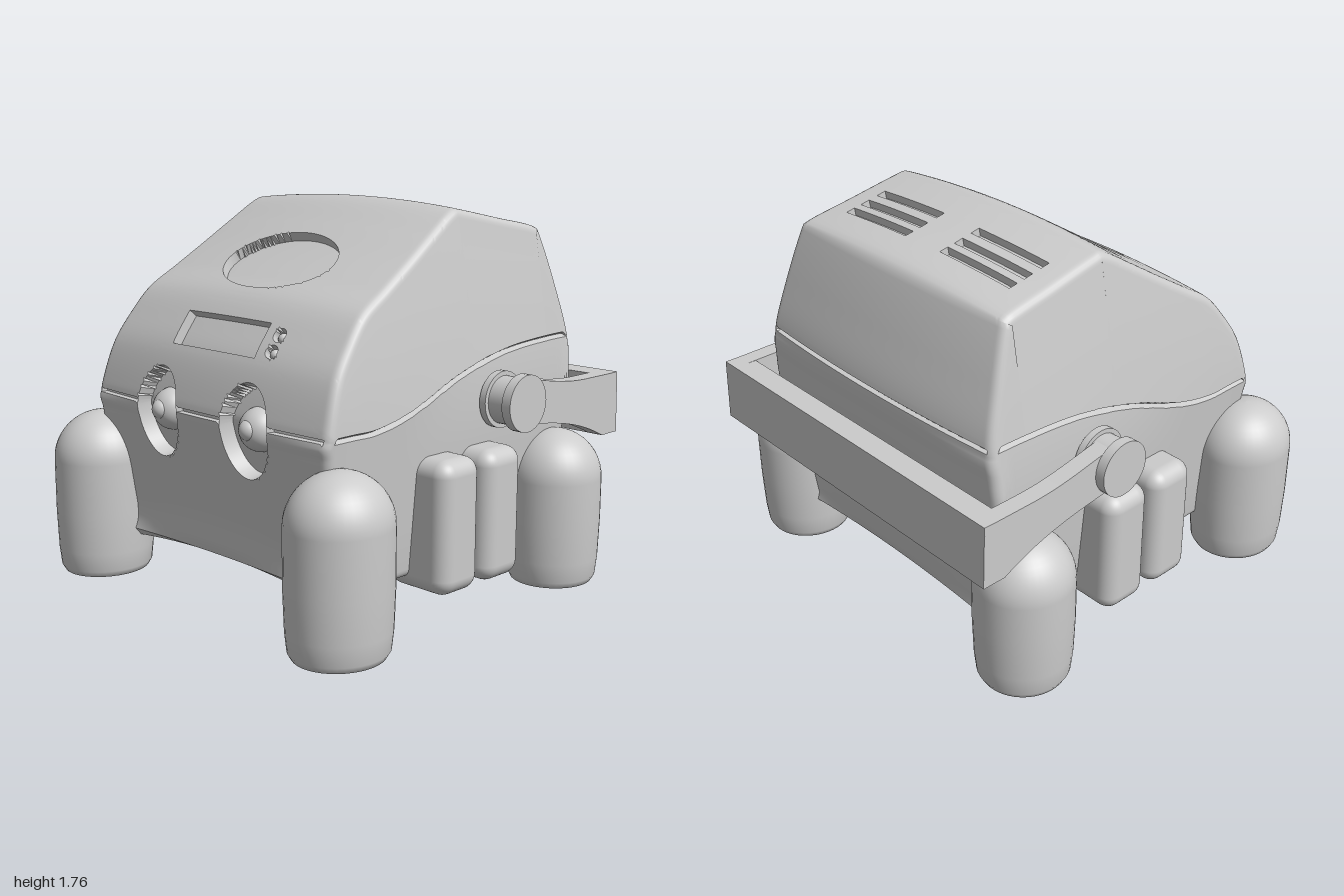
import * as THREE from 'three';
import { toCreasedNormals } from 'three/addons/utils/BufferGeometryUtils.js';
import { RoundedBoxGeometry } from 'three/addons/geometries/RoundedBoxGeometry.js';

const H = 0.0108;   // fine grid spacing of the body skin
const ROLL = 0.04;  // radius of the rounded side edges
const material = () => new THREE.MeshStandardMaterial({ color: 0xcccccc });

// Body outline on the centre line (z, y): bottom, front, top, back
const outline = new THREE.CatmullRomCurve3([
  [0, 0.24], [0.3, 0.24], [0.62, 0.235], [0.7, 0.235], [0.72, 0.25], [0.735, 0.4], [0.775, 0.65],
  [0.8, 0.8], [0.81, 0.875], [0.795, 0.95], [0.735, 1.12], [0.655, 1.24], [0.55, 1.36], [0.4, 1.455],
  [0.24, 1.555], [0.1, 1.645], [-0.05, 1.738], [-0.1, 1.755], [-0.15, 1.748], [-0.4, 1.7],
  [-0.64, 1.652], [-0.67, 1.635], [-0.69, 1.59], [-0.76, 1.38], [-0.825, 1.13], [-0.82, 1.0],
  [-0.79, 0.68], [-0.74, 0.3], [-0.725, 0.25], [-0.7, 0.235], [-0.3, 0.24],
].map(([z, y]) => new THREE.Vector3(0, y, z)), true, 'centripetal');
outline.arcLengthDivisions = 800;
const LENGTH = outline.getLength();

// Seam between lid and lower body, as height over z
const seam = new THREE.SplineCurve([[-0.9, 1.13], [-0.6, 1.125], [-0.3, 1.1], [0, 1.03], [0.3, 0.92],
  [0.5, 0.877], [0.65, 0.875], [0.9, 0.875]].map(p => new THREE.Vector2(...p)));
const seamPoints = seam.getPoints(200);
const seamY = z => seamPoints.find(p => p.x >= z).y;

// Half width of the body at height y
const halfWidth = y => y > 0.88 ? 0.76 - 0.118 * ((y - 0.88) / 0.86) ** 1.3 : 0.76 - 0.06 * (0.88 - y) / 0.68;

// Distance along the outline of the first sample that passes a test
function findS(test) {
  for (let s = 0; s < LENGTH; s += 0.002) if (test(outline.getPointAt(s / LENGTH))) return s;
}
const sFront = y => findS(p => p.z > 0 && p.y >= y);
const sTop = z => findS(p => p.y > 1 && p.z <= z);
const sSeamF = sFront(0.875);
const sSeamB = findS(p => p.z < -0.6 && p.y <= 1.13);

// Point on the skin; bowed across x, rolled at the side edges, sunk by depth
function skin(s, x, depth = 0, roll = 0) {
  const u = ((s / LENGTH) % 1 + 1) % 1;
  const p = outline.getPointAt(u), t = outline.getTangentAt(u);
  const ny = -t.z, nz = t.y;
  const bow = 0.035 * (x / halfWidth(p.y)) ** 2 * (ny < 0 ? 1 + 2.4 * ny : 1);
  const inset = bow + depth + ROLL * (1 - Math.cos(roll));
  return new THREE.Vector3(x + Math.sign(x) * ROLL * Math.sin(roll), p.y - ny * inset, p.z - nz * inset);
}

// Recesses in skin coordinates (x, s)
const recess = (x, s0, s1, w, depth, round) => ({ x, s: (s0 + s1) / 2, a: w, b: Math.abs(s1 - s0) / 2, depth, round });
const recesses = [recess(0, sFront(1.39), sFront(1.6), 0.325, 0.045, true),
  recess(0, sFront(1.14), sFront(1.275), 0.267, 0.045, false)];
for (const y of [1.175, 1.238]) recesses.push(recess(0.345, sFront(y - 0.026), sFront(y + 0.026), 0.033, 0.035, true));
for (const side of [-1, 1]) {
  recesses.push(recess(side * 0.285, sFront(0.64), sFront(1.045), 0.143, 0.075, true));
  for (const z of [-0.31, -0.4, -0.48]) recesses.push(recess(side * 0.315, sTop(z + 0.022), sTop(z - 0.022), 0.205, 0.035, false));
}
for (const s of [sSeamF, sSeamB]) recesses.push(recess(0, s - 0.011, s + 0.011, 5, 0.025, false));

// Snap vertices beside a recess outline onto it so that its walls are crisp
function carve(s, x) {
  for (const r of recesses) {
    let dx = x - r.x, ds = s - r.s;
    if (Math.abs(dx) > r.a + H || Math.abs(ds) > r.b + H) continue;
    if (r.round) {
      const f = Math.hypot(dx / r.a, ds / r.b) || 1e-6;
      const gx = dx / r.a ** 2 / f, gs = ds / r.b ** 2 / f, g = Math.hypot(gx, gs) || 1;
      const d = (f - 1) / g;
      if (d > H) continue;
      if (Math.abs(d) < H) {
        const move = (d < 0 ? -0.002 : 0) - d;
        dx += gx / g * move; ds += gs / g * move;
      }
      return [r.s + ds, r.x + dx, d < 0 ? r.depth : 0];
    }
    const inside = Math.abs(dx) < r.a && Math.abs(ds) < r.b;
    const snap = (v, e) => {
      const d = Math.abs(v) - e;
      return Math.abs(d) < H ? Math.sign(v) * (e - (d < 0 ? 0.002 : 0)) : v;
    };
    return [r.s + snap(ds, r.b), r.x + snap(dx, r.a), inside ? r.depth : 0];
  }
  return [s, x, 0];
}

// Body: one closed grid running round the outline, fine where there is detail
function bodyGeometry() {
  const rows = [], fine0 = sFront(0.61), fine1 = sTop(-0.53);
  for (let s = 0; s < LENGTH - 0.03;) {
    rows.push(s);
    const fine = (s > fine0 && s < fine1) || Math.abs(s - sSeamB) < 0.05;
    s += fine ? 0.0104 : 0.03;
  }
  const NX = 136, NR = 5, sideSteps = [0.25, 0.5, 0.75];
  const positions = [], index = [];
  let columns = 0;
  rows.forEach(s => {
    const flat = halfWidth(outline.getPointAt(s / LENGTH).y) - ROLL;
    const edge = skin(s, flat, 0, Math.PI / 2);
    const half = [];                       // rolled edge, then flank to the seam
    for (let k = 1; k <= NR; k++) half.push(skin(s, flat, 0, k / NR * Math.PI / 2));
    const ySeam = seamY(edge.z), gap = Math.abs(edge.y - ySeam) || 1e-4;
    for (const k of [...sideSteps, Math.max(0.8, 1 - 0.012 / gap), 1]) {
      const y = THREE.MathUtils.lerp(edge.y, ySeam, k);
      const x = halfWidth(y) + (edge.x - halfWidth(edge.y)) * (1 - k);
      half.push(new THREE.Vector3(x - (k === 1 ? 0.025 : 0), y, edge.z));
    }
    const line = half.map(p => new THREE.Vector3(-p.x, p.y, p.z)).reverse();
    for (let j = 0; j <= NX; j++) line.push(skin(...carve(s, (j / NX * 2 - 1) * flat)));
    line.push(...half);
    columns = line.length;
    line.forEach(p => positions.push(p.x, p.y, p.z));
  });
  for (let i = 0; i < rows.length; i++) for (let j = 0; j < columns - 1; j++) {
    const a = i * columns + j, c = ((i + 1) % rows.length) * columns + j;
    index.push(a, a + 1, c, a + 1, c + 1, c);
  }
  const g = new THREE.BufferGeometry();
  g.setAttribute('position', new THREE.Float32BufferAttribute(positions, 3));
  g.setIndex(index);
  return toCreasedNormals(g, 0.6);
}

// Domed leg with a flat foot
function legGeometry(r, h) {
  const pts = [[0, 0], [r - 0.055, 0], [r - 0.03, 0.008], [r - 0.015, 0.035], [r - 0.006, 0.12], [r, 0.3], [r, h - 0.22]];
  for (let k = 1; k <= 12; k++) {
    const a = k / 12 * Math.PI / 2;
    pts.push([r * Math.cos(a), h - 0.22 + 0.22 * Math.sin(a)]);
  }
  return new THREE.LatheGeometry(pts.map(p => new THREE.Vector2(Math.max(0, p[0]), p[1])), 40);
}

export function createModel() {
  const model = new THREE.Group();
  const add = (name, geometry, x, y, z) => {
    const m = new THREE.Mesh(geometry, material());
    m.name = name;
    m.position.set(x, y, z);
    model.add(m);
    return m;
  };
  add('body', bodyGeometry(), 0, 0, 0);

  // Small round buttons beside the display recess
  for (const y of [1.175, 1.238]) {
    const p = skin(sFront(y), 0.345, 0.03);
    add('button', new THREE.SphereGeometry(0.024, 16, 12), p.x, p.y, p.z);
  }

  // Handle arm outline in (z, y)
  const arm = new THREE.Shape();
  arm.moveTo(-0.24, 1.01);
  arm.bezierCurveTo(-0.42, 0.98, -0.55, 0.945, -0.72, 0.945);
  arm.lineTo(-0.963, 0.945);
  arm.lineTo(-0.972, 0.662);
  arm.lineTo(-0.86, 0.662);
  arm.bezierCurveTo(-0.7, 0.74, -0.55, 0.78, -0.24, 0.805);

  for (const side of [-1, 1]) {
    const tag = side > 0 ? 'left' : 'right';
    add(tag + 'Eye', new THREE.SphereGeometry(0.095, 32, 24), side * 0.29, 0.845, 0.705);
    add(tag + 'Pupil', new THREE.SphereGeometry(0.046, 24, 16), side * 0.29, 0.85, 0.77);
    add(tag + 'FrontLeg', legGeometry(0.215, 0.76), side * 0.783, 0.01, 0.742).scale.z = 1.08;
    add(tag + 'RearLeg', legGeometry(0.215, 0.71), side * 0.772, 0, -0.652).scale.z = 1.02;
    for (const z of [0.13, -0.147])
      add(tag + 'MiddleLeg', new RoundedBoxGeometry(0.34, 0.58, 0.244, 5, 0.07), side * 0.727, 0.43, z);

    // Spool-shaped handle pivot: radius, inner x, outer x
    for (const [r, x0, x1] of [[0.125, 0.765, 0.797], [0.105, 0.7, 0.9], [0.125, 0.885, 0.93]]) {
      const g = new THREE.CylinderGeometry(r, r, x1 - x0, 40).rotateZ(Math.PI / 2);
      add(tag + 'HandlePivot', g, side * (x0 + x1) / 2, 0.907, -0.24);
    }
    const armGeometry = new THREE.ExtrudeGeometry(arm, { depth: 0.08, bevelEnabled: false, curveSegments: 16 }).rotateY(-Math.PI / 2);
    add(tag + 'HandleArm', armGeometry, side > 0 ? 0.885 : -0.805, 0, 0);
  }
  add('handleBar', new THREE.BoxGeometry(1.77, 0.283, 0.11), 0, 0.8035, -0.914).rotation.x = 0.03;
  return model;
}
